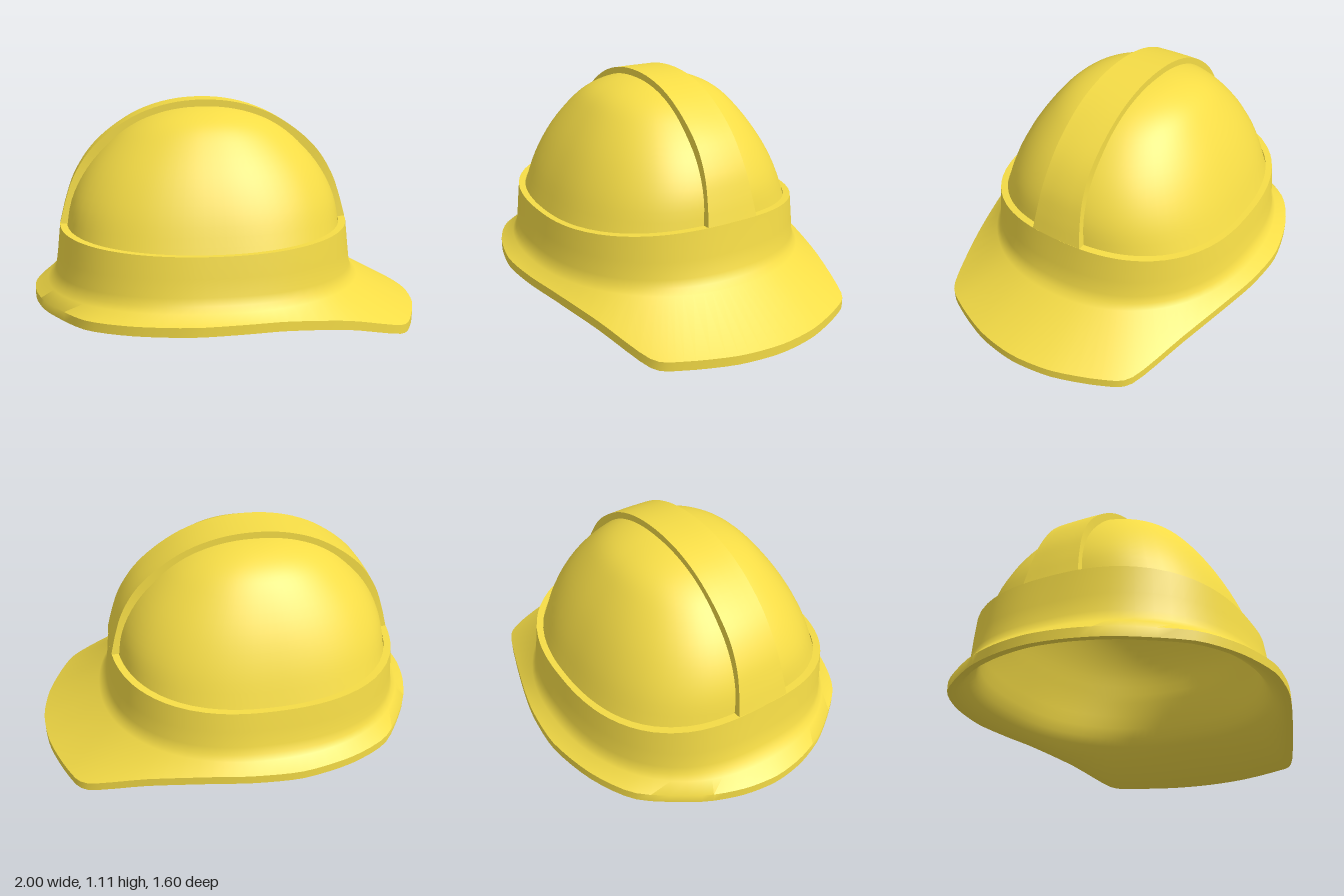
import * as THREE from 'three';
import { toCreasedNormals } from 'three/addons/utils/BufferGeometryUtils.js';

const CX = -0.12; // centre of the crown
const V = (x, y, z) => new THREE.Vector3(x, y, z);

// Skin a list of equally long point rows
function loft(rows) {
  const n = rows[0].length, pos = [], index = [];
  rows.forEach(r => r.forEach(p => pos.push(p.x, p.y, p.z)));
  for (let i = 0; i < rows.length - 1; i++) {
    for (let j = 0; j < n - 1; j++) {
      const a = i * n + j, b = a + n;
      index.push(a, b, a + 1, a + 1, b, b + 1);
    }
  }
  const g = new THREE.BufferGeometry();
  g.setAttribute('position', new THREE.Float32BufferAttribute(pos, 3));
  g.setIndex(index);
  return toCreasedNormals(g, 0.8);
}

export function createModel() {
  const group = new THREE.Group();
  const yellow = new THREE.MeshStandardMaterial({ color: 0xf5dc46, side: THREE.DoubleSide });
  const add = (name, rows) => {
    const mesh = new THREE.Mesh(loft(rows), yellow);
    mesh.name = name;
    group.add(mesh);
  };

  // Brim outline: half from the peak round to the nape (x, top edge y, z), mirrored
  const half = [
    [1, 0.047, 0], [0.97, 0.046, 0.22], [0.88, 0.046, 0.45], [0.79, 0.05, 0.565],
    [0.5, 0.123, 0.665], [0.2, 0.165, 0.75], [0, 0.174, 0.79], [-0.24, 0.174, 0.8],
    [-0.5, 0.17, 0.74], [-0.72, 0.165, 0.62], [-0.9, 0.162, 0.37], [-0.975, 0.16, 0.18], [-1, 0.16, 0],
  ];
  const loop = half.concat(half.slice(1, -1).reverse().map(([x, y, z]) => [x, y, -z]));
  const outline = new THREE.CatmullRomCurve3(loop.map(p => V(...p)), true, 'catmullrom', 0.4).getPoints(96);
  const angles = outline.map(p => Math.atan2(p.z / 0.7, (p.x - CX) / 0.765));

  // Rounded ring, fuller towards the nape; lift raises it at the peak and nape
  const ring = (hx, hz, y, full = 0.5, lift = 0) => angles.map(t => {
    const c = Math.cos(t), s = Math.sin(t), n = 2 + full * (1 - 0.25 * c);
    const k = (Math.abs(c) ** n + Math.abs(s) ** n) ** (-1 / n);
    return V(CX + hx * c * k, y + lift * c * c, hz * s * k);
  });
  const edge = (scale, drop) => outline.map(p => V(CX + (p.x - CX) * scale, p.y - drop, p.z * scale));

  // Brim flaring up into the head band, closed by the ledge round the crown
  add('brimAndBand', [
    edge(1, 0.045), edge(1, 0),
    ring(0.81, 0.735, 0.21, 0.2), ring(0.782, 0.713, 0.237, 0.27), ring(0.765, 0.7, 0.275, 0.34),
    ring(0.752, 0.687, 0.36, 0.42), ring(0.735, 0.67, 0.455, 0.5, 0.048), ring(0.7, 0.638, 0.455, 0.5, 0.048),
  ]);

  // Crown: half width, height, half depth of each level, rounder towards the top
  const levels = new THREE.CatmullRomCurve3([
    V(0.708, 0.44, 0.645), V(0.675, 0.62, 0.58), V(0.592, 0.78, 0.5), V(0.455, 0.93, 0.395),
    V(0.355, 1.0, 0.325), V(0.25, 1.045, 0.24), V(0.13, 1.073, 0.13), V(0, 1.08, 0),
  ]).getPoints(28);
  const fullness = y => 0.5 - 0.35 * (y - 0.44) / 0.64;
  add('crown', levels.map(p => ring(p.x, p.z, p.y, fullness(p.y))));

  // Inside of the shell and underside of the brim, running downwards
  add('lining', [
    ...levels.map(p => ring(p.x * 0.95, p.z * 0.95, p.y - 0.03, fullness(p.y))).reverse(),
    ring(0.697, 0.637, 0.33, 0.42), ring(0.718, 0.656, 0.265, 0.34),
    ring(0.745, 0.678, 0.21, 0.27), ring(0.78, 0.708, 0.168, 0.2),
    edge(0.96, 0.043), edge(1, 0.045),
  ]);

  // Raised ridge over the crown from peak to nape
  const arc = [[0.735, 0.503], [0.707, 0.61], [0.664, 0.73], [0.584, 0.855], [0.475, 0.955], [0.33, 1.043], [0.17, 1.094]];
  const path = new THREE.CatmullRomCurve3([
    ...arc.map(([x, y]) => V(x, y, 0)), V(0, 1.11, 0),
    ...arc.slice().reverse().map(([x, y]) => V(-x, y, 0)),
  ]).getPoints(56);
  add('ridge', path.map(p => {
    const w = 0.11 + 0.03 * Math.max(0, (0.85 - p.y) / 0.35) ** 1.5;
    const at = (s, k) => V(CX + p.x * (1 - 0.008 * s * s) * k, 0.4 + (p.y - 0.4) * k, s * w);
    return [at(-1, 0.93), ...[-1, -0.5, 0, 0.5, 1].map(s => at(s, 1)), at(1, 0.93)];
  }));

  return group;
}
